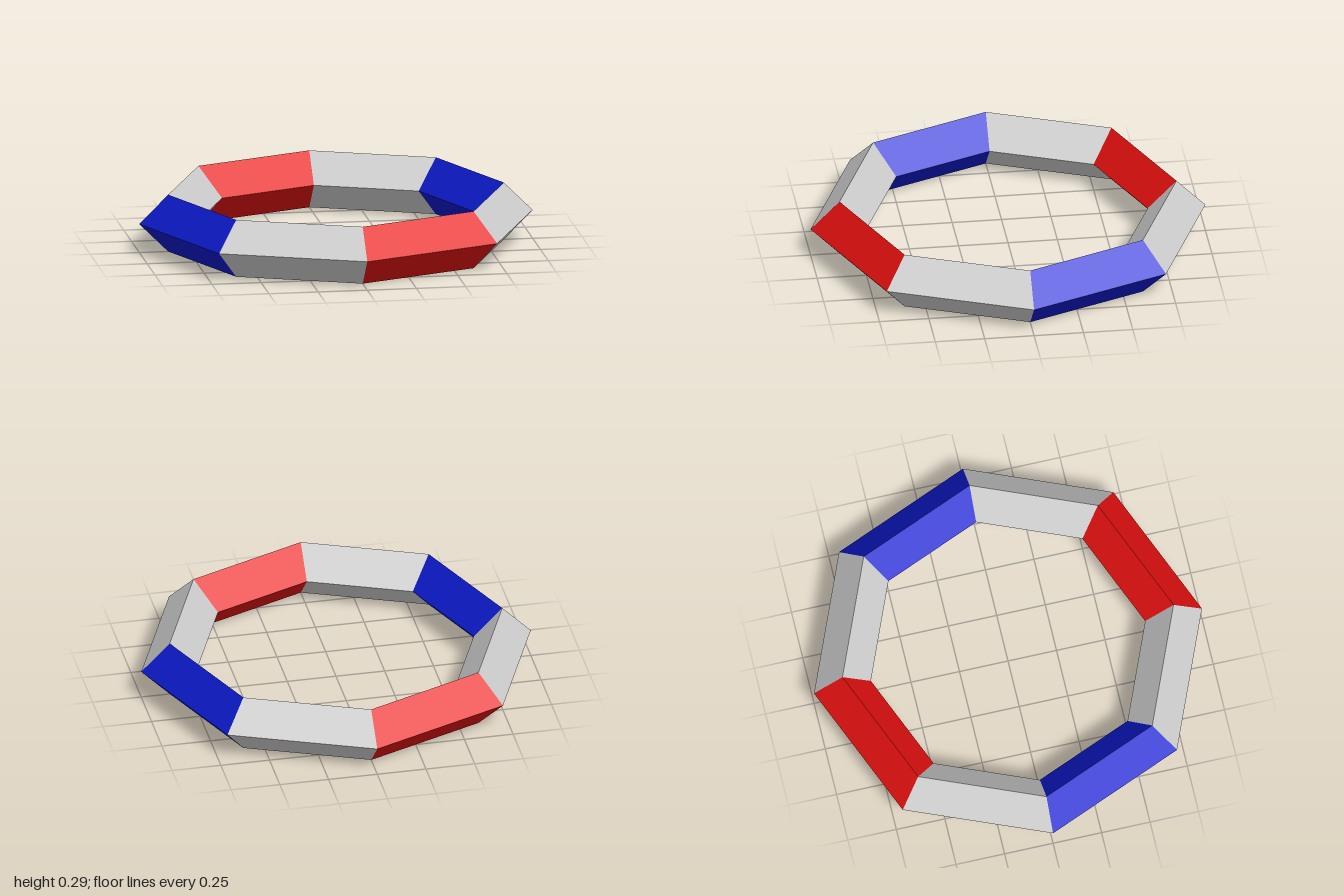
import * as THREE from 'three';

// Eight-sided ring with a diamond cross-section, coloured segment by segment
const RADIUS = 0.8535;
const TUBE = 0.1465;
const SIDES = 8;

export function createModel() {
  const ring = new THREE.Group();
  ring.name = 'ring';

  const material = (color) => new THREE.MeshStandardMaterial({ color, flatShading: true });
  const grey = material(0xcccccc);
  const red = material(0xe01010);
  const blue = material(0x0d1acc);
  const pattern = [grey, red, grey, blue];
  const labels = ['greySegment', 'redSegment', 'greySegment', 'blueSegment'];

  // One straight segment, running from +x towards +z
  const arc = (Math.PI * 2) / SIDES;
  const segment = new THREE.TorusGeometry(RADIUS, TUBE, 4, 1, arc);
  segment.rotateX(Math.PI / 2);

  for (let i = 0; i < SIDES; i++) {
    const mesh = new THREE.Mesh(segment, pattern[i % 4]);
    mesh.name = labels[i % 4] + (i + 1);
    mesh.rotation.y = -i * arc;
    mesh.position.y = TUBE;
    ring.add(mesh);
  }
  return ring;
}
